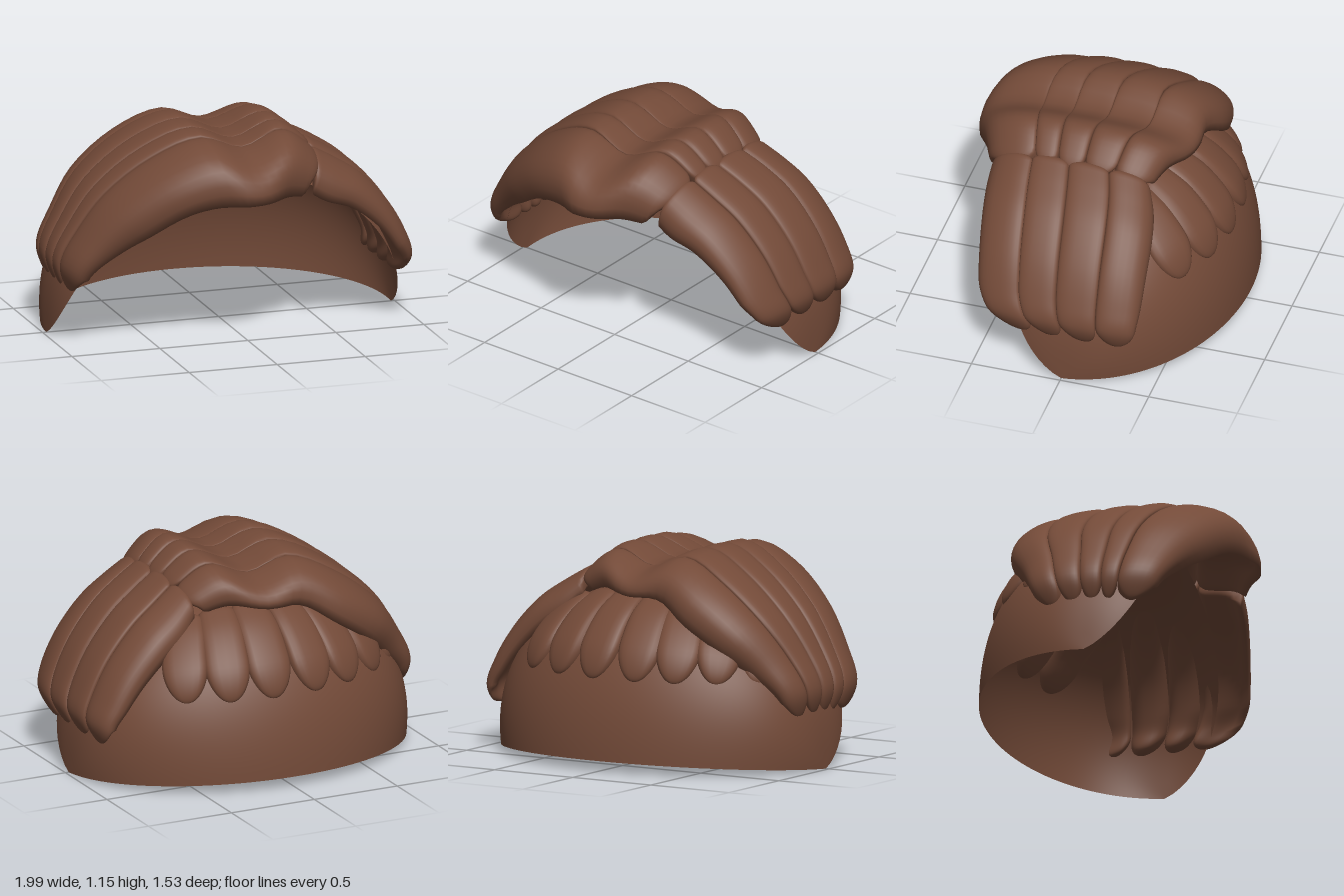
import * as THREE from 'three';

const hair = new THREE.MeshStandardMaterial({ color: 0x734a38, side: THREE.DoubleSide });
hair.name = 'brown hair';

const lerp = THREE.MathUtils.lerp;
const signPow = (v, e) => Math.sign(v) * Math.abs(v) ** e;
const round = d => Math.sqrt(Math.max(0, 1 - (1 - Math.min(1, d)) ** 2));
const easeEnds = i => (1 - Math.cos(Math.PI * i)) / 2;

// Grid of quads as indexed geometry; closed wraps the section.
function gridGeometry(rows, cols, closed, point) {
  const pos = [], idx = [], n = closed ? cols : cols + 1;
  for (let i = 0; i <= rows; i++) {
    for (let j = 0; j < n; j++) pos.push(...point(i / rows, j / cols).toArray());
  }
  for (let i = 0; i < rows; i++) {
    for (let j = 0; j < cols; j++) {
      const a = i * n + j, b = i * n + (j + 1) % n;
      idx.push(a, a + n, b, b, a + n, b + n);
    }
  }
  const g = new THREE.BufferGeometry();
  g.setAttribute('position', new THREE.Float32BufferAttribute(pos, 3));
  g.setIndex(idx);
  g.computeVertexNormals();
  return g;
}

// One lock of a sweep. Stations are [x, y, back z, front z, back depth, front depth]
// of a rounded envelope; the lock fills the band t0..t1 across it (-1 back, 1 front).
function bandLock(stations, t0, t1, dir, tipLen) {
  const P = 2.7, GROOVE = 0.035, INNER = 0.1;
  const crest = new THREE.CatmullRomCurve3(stations.map(s => new THREE.Vector3(s[0], s[1], s[2])));
  const edge = new THREE.CatmullRomCurve3(stations.map(s => new THREE.Vector3(s[3], s[4], s[5])));
  return gridGeometry(48, 28, true, (i, j) => {
    const u = easeEnds(i), c = crest.getPoint(u), e = edge.getPoint(u);
    const end = round(u / 0.04) * round((1 - u) / tipLen);
    const a = j * Math.PI * 2;
    const w = dir * signPow(Math.cos(a), 0.8) * end;
    const t = THREE.MathUtils.clamp(lerp(t0, t1, (w + 1) / 2), -1, 1);
    const sin = signPow(t, P / 2), cos = Math.sqrt(1 - sin * sin);
    const depth = t < 0 ? e.y : e.z;
    const up = new THREE.Vector3(c.x, c.y, 0).normalize();
    const z = lerp(c.z, e.x, (t + 1) / 2);
    // grooves fade out on the crown
    const groove = GROOVE * Math.min(1, 0.3 + Math.max(0, Math.abs(c.x) - 0.12) * 5);
    const s = Math.sin(a);
    const off = -groove + end * (s > 0 ? groove * s ** 0.7 : -INNER * Math.abs(s) ** 0.7);
    return new THREE.Vector3(c.x, c.y, z)
      .addScaledVector(up, depth * (cos ** (2 / P) - 1) + off * cos)
      .add(new THREE.Vector3(0, 0, off * sin));
  });
}

// Lock swept along points [x, y, z, halfWidth], lying flat on the head.
function lockGeometry(points, thick) {
  const curve = new THREE.CatmullRomCurve3(points.map(p => new THREE.Vector3(p[0], p[1], p[2])));
  return gridGeometry(30, 20, true, (i, j) => {
    const u = easeEnds(i), c = curve.getPoint(u), t = curve.getTangent(u);
    const f = u * (points.length - 1), k = Math.min(Math.floor(f), points.length - 2);
    const n = new THREE.Vector3(c.x / 0.96, c.y, c.z / 0.64);
    n.addScaledVector(t, -n.dot(t)).normalize();
    const w = t.clone().cross(n);
    const end = round(u / 0.1) * round((1 - u) / 0.3);
    const a = j * Math.PI * 2;
    return c.addScaledVector(w, lerp(points[k][3], points[k + 1][3], f - k) * end * signPow(Math.cos(a), 0.75))
      .addScaledVector(n, thick * end * signPow(Math.sin(a), 0.75));
  });
}

export function createModel() {
  const model = new THREE.Group();
  const add = (name, geometry) => {
    const m = new THREE.Mesh(geometry, hair);
    m.name = name;
    model.add(m);
  };

  // Head shell, open below and at the face
  const RX = 0.98, RY = 0.95, RZ = 0.77, E = 2.3;
  add('backShell', gridGeometry(40, 64, false, (i, j) => {
    const phi = j * Math.PI, s = Math.max(0, Math.sin(phi));
    const front = Math.PI - THREE.MathUtils.degToRad(15 + 53 * Math.sqrt(s));
    const a = lerp(0.078, front, i);
    const dz = -Math.cos(a), dy = Math.sin(a);
    const r = (Math.abs(dz / RZ) ** E + Math.abs(dy / RY) ** E) ** (-1 / E);
    const k = r * s ** (1 - 0.25 * dy);
    return new THREE.Vector3(RX * Math.cos(phi), dy * k, dz * k);
  }));

  // Long locks and fringe combed over the crown to the right side
  const over = [
    [0.44, 1.02, -0.33, 0.61, 0.15, 0.24], [0.24, 1.155, -0.4, 0.7, 0.22, 0.33],
    [0, 1.075, -0.46, 0.77, 0.16, 0.25], [-0.24, 1.155, -0.48, 0.76, 0.25, 0.34],
    [-0.5, 1.05, -0.53, 0.7, 0.28, 0.3], [-0.75, 0.85, -0.5, 0.6, 0.25, 0.27],
    [-0.9, 0.64, -0.4, 0.5, 0.2, 0.2], [-0.985, 0.46, -0.33, 0.43, 0.14, 0.14],
    [-0.97, 0.31, -0.27, 0.37, 0.1, 0.1],
  ];
  const overBands = [-1, -0.58, -0.2, 0.12, 0.4, 1];
  for (let k = 0; k < 5; k++) {
    add(k === 4 ? 'fringe' : 'combOverLock', bandLock(over, overBands[k], overBands[k + 1], -1, 0.1));
  }

  // Shorter locks falling from the parting down the left side
  const side = [
    [0.4, 1.05, -0.33, 0.6, 0.15, 0.24], [0.55, 0.965, -0.39, 0.6, 0.2, 0.24],
    [0.7, 0.86, -0.42, 0.58, 0.2, 0.2], [0.86, 0.68, -0.43, 0.55, 0.18, 0.16],
    [0.96, 0.5, -0.43, 0.52, 0.15, 0.13], [1, 0.38, -0.42, 0.46, 0.12, 0.1],
    [0.98, 0.26, -0.41, 0.36, 0.1, 0.08],
  ];
  const sideBands = [-1, -0.5, 0, 0.46, 1];
  for (let k = 0; k < 4; k++) {
    add('sideLock', bandLock(side, sideBands[k], sideBands[k + 1], 1, 0.17));
  }

  // Short locks fanned over the back, resting on the shell
  const onBack = (x, y) => {
    const s = (1 - (x / RX) ** 2) ** 0.43;
    return -s * RZ * Math.max(0, 1 - (y / (RY * s)) ** E) ** (1 / E);
  };
  for (const x of [-0.76, -0.6, -0.4, -0.18, 0.08, 0.32, 0.54]) {
    const pts = [[0.72, 0.91], [0.84, 0.81], [0.94, 0.67], [1, 0.49]].map(([f, y], k) => {
      const px = x * f, py = y * (1 - 0.2 * x * x * (1 - k / 3));
      return [px, py, onBack(px, py) * 0.99, [0.1, 0.12, 0.125, 0.11][k]];
    });
    add('backLock', lockGeometry(pts, 0.055));
  }
  return model;
}
